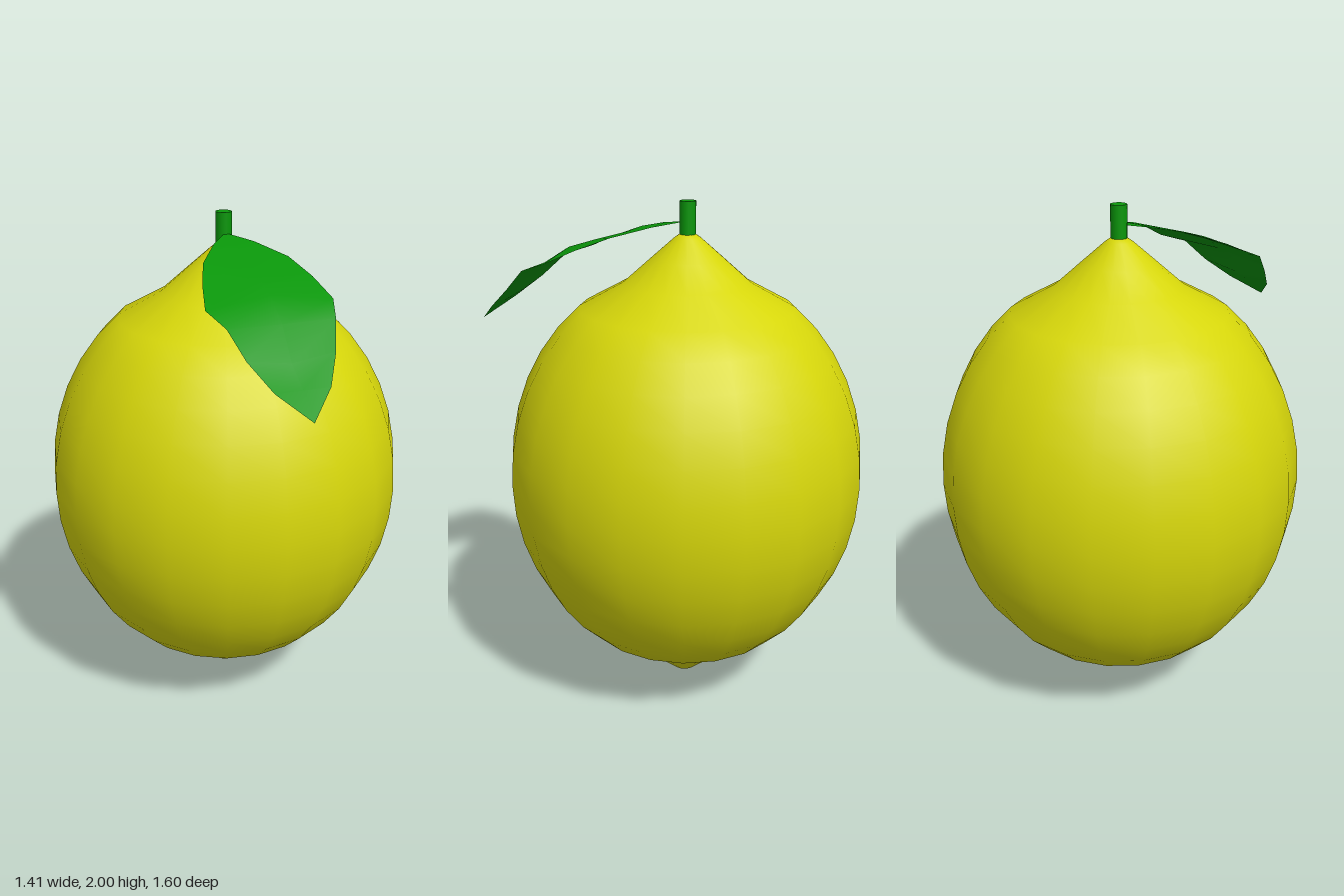
import * as THREE from 'three';

const AXIS_Z = -0.095;

function part(name, geometry, color, side = THREE.FrontSide) {
  const mesh = new THREE.Mesh(geometry, new THREE.MeshStandardMaterial({ color, side }));
  mesh.name = name;
  return mesh;
}

// Fruit: stretched sphere rings with a pointed tip at both ends
function fruitGeometry() {
  const mid = 0.94;
  const profile = [[0, 0], [0.03, 0.002], [0.05, 0.015], [0.14, 0.093], [0.245, 0.185]];
  const points = profile.map(([r, y]) => new THREE.Vector2(r, y));
  for (let deg = 36; deg <= 144; deg += 9) {
    const a = THREE.MathUtils.degToRad(deg);
    points.push(new THREE.Vector2(0.705 * Math.sin(a), mid - 0.82 * Math.cos(a)));
  }
  for (const [r, y] of profile.reverse()) points.push(new THREE.Vector2(r, 2 * mid - y));
  return new THREE.LatheGeometry(points, 20);
}

// Leaf: strip of left edge, midrib and right edge points along its length
function leafGeometry() {
  // z, half width, edge height, midrib height
  const rows = [
    [-0.08, 0, 1.922, 1.922],
    [0.02, 0.078, 1.906, 1.906],
    [0.153, 0.163, 1.872, 1.873],
    [0.278, 0.206, 1.825, 1.838],
    [0.395, 0.235, 1.772, 1.802],
    [0.505, 0.197, 1.735, 1.733],
    [0.595, 0.16, 1.648, 1.625],
    [0.696, 0.1, 1.565, 1.565],
    [0.795, 0, 1.488, 1.488],
  ];
  const positions = [], index = [];
  rows.forEach(([z, w, edge, rib], i) => {
    positions.push(-w, edge, z, 0, rib, z, w, edge, z);
    if (i === rows.length - 1) return;
    for (let j = 0; j < 2; j++) {
      const a = i * 3 + j, b = a + 3;
      index.push(a, b, a + 1, a + 1, b, b + 1);
    }
  });
  const geometry = new THREE.BufferGeometry();
  geometry.setAttribute('position', new THREE.Float32BufferAttribute(positions, 3));
  geometry.setIndex(index);
  geometry.computeVertexNormals();
  return geometry;
}

export function createModel() {
  const model = new THREE.Group();
  model.name = 'lemon';

  const fruit = part('fruit', fruitGeometry(), 0xd6d60a);
  fruit.position.z = AXIS_Z;

  const stem = part('stem', new THREE.CylinderGeometry(0.031, 0.031, 0.15, 16), 0x0a960a);
  stem.position.set(0, 1.925, AXIS_Z);

  const leaf = part('leaf', leafGeometry(), 0x0a960a, THREE.DoubleSide);

  model.add(fruit, stem, leaf);
  return model;
}
